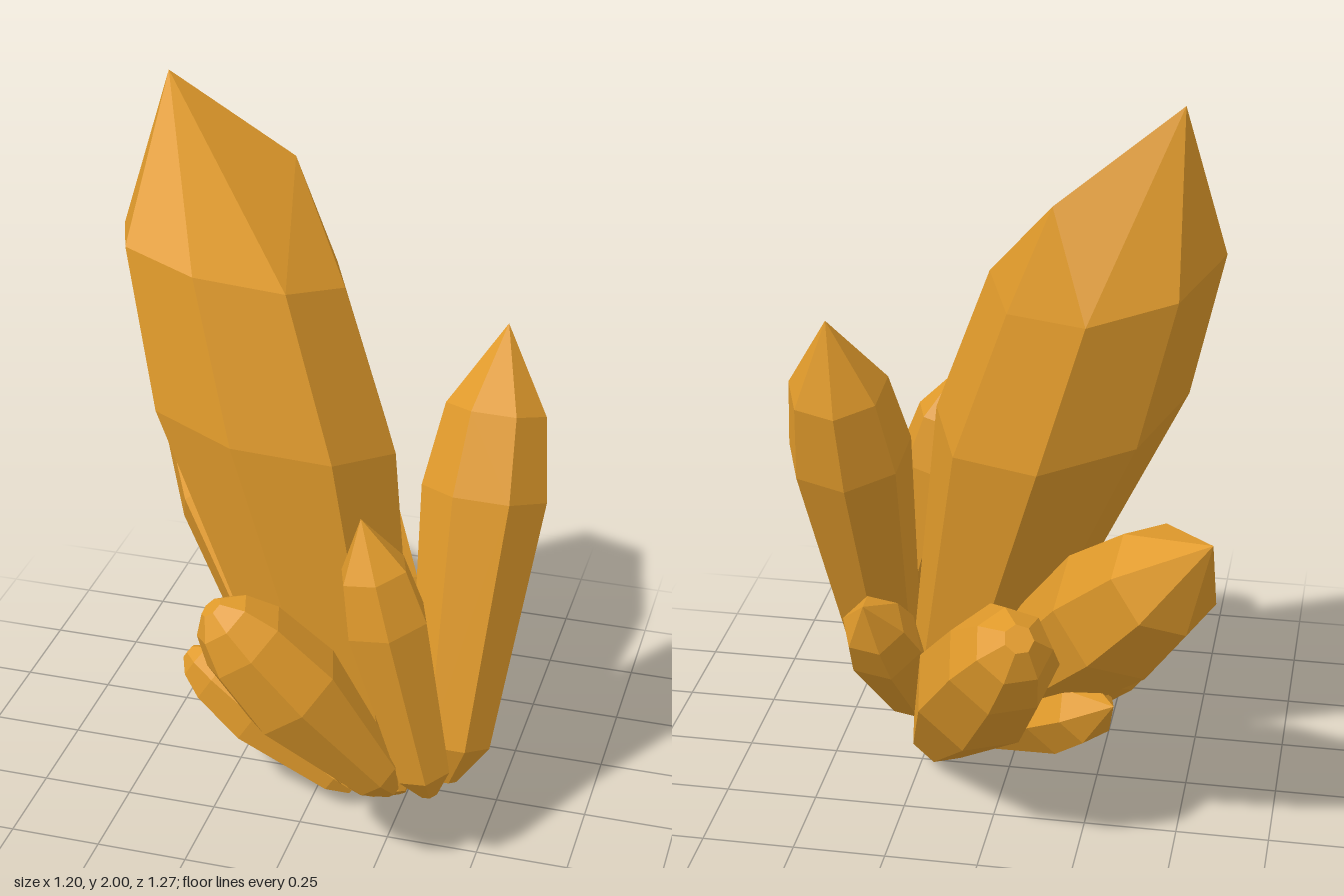
import * as THREE from 'three';
import { ConvexGeometry } from 'three/addons/geometries/ConvexGeometry.js';

const material = new THREE.MeshStandardMaterial({ color: 0xe09a2b, flatShading: true });
const vec = (p) => new THREE.Vector3(...p);

// Shared outlines: [fraction of length, fraction of radius]
const POINTED = [[0, 0.2], [0.09, 0.66], [0.64, 1], [0.82, 0.8], [1, 0]];
const BLUNT = [[0, 0.15], [0.1, 0.5], [0.57, 1], [0.84, 0.85], [0.96, 0.58], [1.02, 0.22]];
const OPEN = [[0, 0.15], [0.12, 0.56], [0.71, 1], [1, 0.9]];

// One faceted crystal: the hull of polygon rings set along the line from base to tip.
// The crown adds off-centre peaks; ringAxis tilts the rings away from that line.
function crystal(name, base, tip, radius, { outline = POINTED, sides = 7, phase = 0.2, ringAxis, crown = [] } = {}) {
  const start = vec(base);
  const end = vec(tip);
  const axis = (ringAxis ? vec(ringAxis) : end.clone().sub(start)).normalize();
  const turn = new THREE.Quaternion().setFromUnitVectors(new THREE.Vector3(0, 1, 0), axis);
  const points = crown.map(vec);
  for (const [t, scale] of outline) {
    const centre = start.clone().lerp(end, t);
    for (let i = 0; i < (scale > 0 ? sides : 1); i++) {
      const a = phase + (i / sides) * Math.PI * 2;
      const p = new THREE.Vector3(Math.cos(a), 0, Math.sin(a)).multiplyScalar(radius * scale);
      points.push(p.applyQuaternion(turn).add(centre));
    }
  }
  const mesh = new THREE.Mesh(new ConvexGeometry(points), material);
  mesh.name = name;
  return mesh;
}

export function createModel() {
  const group = new THREE.Group();
  group.name = 'crystalCluster';

  // Large crystal with a chisel-like crown
  group.add(crystal('mainCrystal', [0.17, 0.11, 0.19], [-0.26, 1.55, -0.05], 0.345, {
    outline: OPEN, sides: 8, phase: 0.05, ringAxis: [0.17, 1, -0.2],
    crown: [[-0.15, 1.76, -0.25], [-0.46, 2, -0.15]],
  }));

  // Pointed crystals
  group.add(
    crystal('tallSideCrystal', [0.4, 0.21, 0.23], [0.45, 1.39, -0.17], 0.17, { phase: 0.1 }),
    crystal('slimFrontCrystal', [0.39, 0.25, 0.36], [0.2, 1.06, 0.37], 0.117, { sides: 6 }),
    crystal('leaningRearCrystal', [0.12, 0.1, 0.15], [-0.6, 1.04, -0.585], 0.19, { phase: 0.4 }),
    crystal('slimRearCrystal', [0.29, 0.11, 0.13], [0.335, 0.65, -0.32], 0.11, { sides: 6 }),
    crystal('lowRearCrystal', [0.13, 0.06, 0.12], [-0.34, 0.45, -0.38], 0.11, { sides: 6 }),
  );

  // Crystals with rounded ends
  group.add(
    crystal('bluntFrontCrystal', [0.3, 0.27, 0.4], [-0.13, 0.84, 0.55], 0.145, { outline: BLUNT }),
    crystal('bluntRearCrystal', [0.23, 0.02, 0.07], [-0.12, 0.73, -0.58], 0.178, { outline: BLUNT }),
    crystal('lowSideCrystal', [0.12, 0.06, 0.14], [-0.37, 0.37, 0.06], 0.1, { outline: BLUNT, sides: 6 }),
  );

  return group;
}
